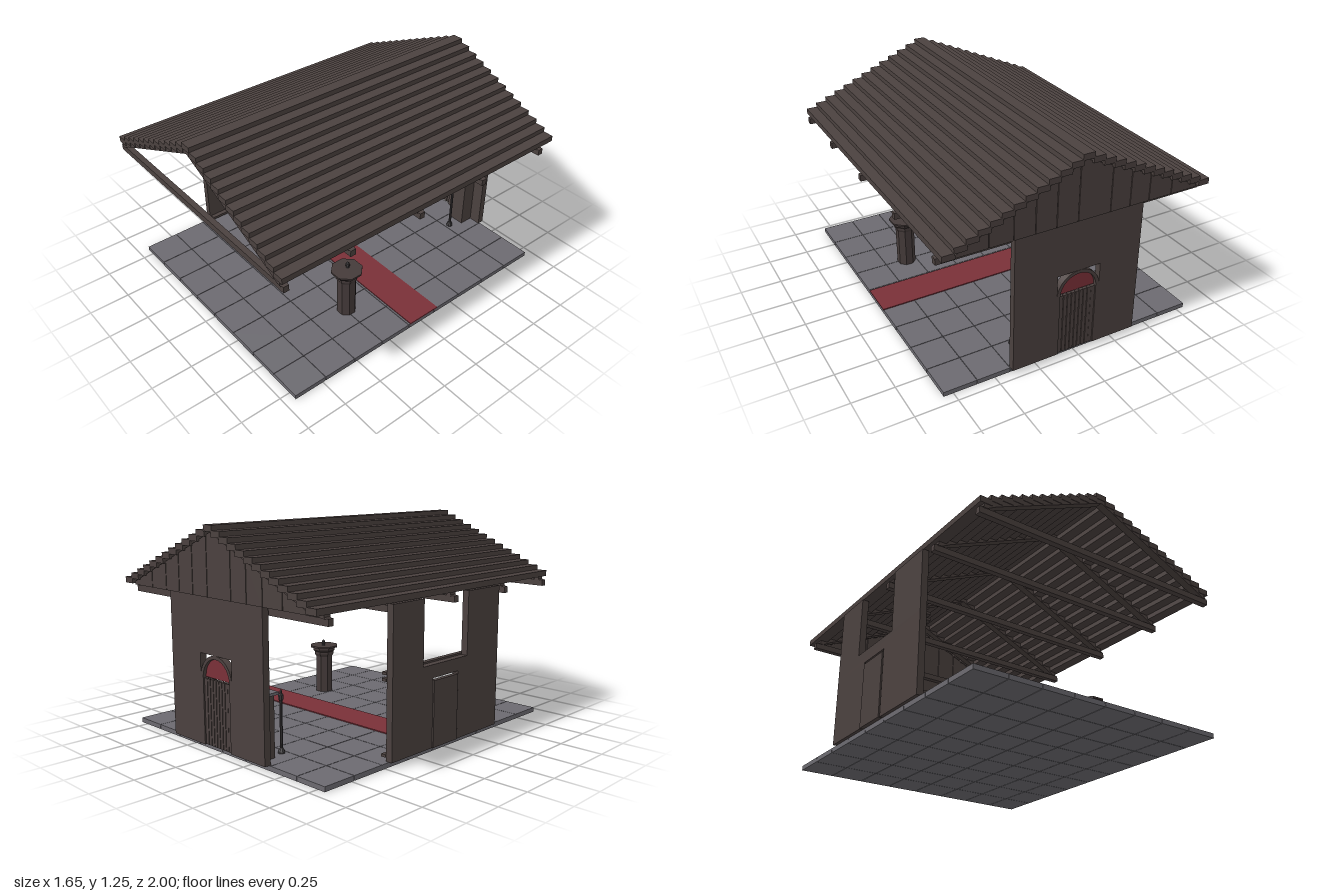
import * as THREE from 'three';

const mat = (name, color, side = THREE.FrontSide) => {
  const m = new THREE.MeshStandardMaterial({ color, side });
  m.name = name;
  return m;
};

export function createModel() {
  const wood = mat('dark wood', 0x4b413f);
  const font = mat('font wood', 0x453b3a);
  const stone = mat('grey stone', 0x6c6a70);
  const red = mat('red cloth', 0x7a3038, THREE.DoubleSide);
  const iron = mat('dark iron', 0x3b383a);
  const model = new THREE.Group();
  model.name = 'chapel';

  const group = (name, parent = model) => {
    const g = new THREE.Group();
    g.name = name;
    parent.add(g);
    return g;
  };
  const add = (parent, name, geo, m, x = 0, y = 0, z = 0) => {
    const mesh = new THREE.Mesh(geo, m);
    mesh.name = name;
    mesh.position.set(x, y, z);
    parent.add(mesh);
    return mesh;
  };
  // Box given by its extents on each axis
  const box = (parent, name, m, x0, x1, y0, y1, z0, z1) =>
    add(parent, name, new THREE.BoxGeometry(x1 - x0, y1 - y0, z1 - z0), m,
      (x0 + x1) / 2, (y0 + y1) / 2, (z0 + z1) / 2);
  // Outline in the xy plane, extruded from z0 to z1
  const prism = (parent, name, m, pts, z0, z1) => {
    const s = new THREE.Shape(pts.map(p => new THREE.Vector2(...p)));
    const geo = new THREE.ExtrudeGeometry(s, { depth: z1 - z0, bevelEnabled: false });
    return add(parent, name, geo, m, 0, 0, z0);
  };
  const lathe = (pts, n) => {
    const geo = new THREE.LatheGeometry(pts.map(p => new THREE.Vector2(...p)), n, Math.PI / n).toNonIndexed();
    geo.computeVertexNormals();
    return geo;
  };

  // Floor of stone tiles, with a carpet across it
  const floor = group('floor');
  const tx = 1.61 / 8, tz = 1.88 / 9;
  for (let i = 0; i < 8; i++) for (let j = 0; j < 9; j++) {
    const x = -0.8 + i * tx, z = -0.94 + j * tz;
    box(floor, 'floorTile', stone, x, x + tx - 0.003, 0, 0.028, z, z + tz - 0.003);
  }
  box(model, 'carpet', red, -0.78, 0.81, 0.027, 0.034, -0.13, 0.09);

  // Stepped roof planks
  const cx = 0.005, roof = group('roof');
  for (let i = -12; i <= 12; i++) {
    const x = cx + i * 0.065, y = 1.255 - Math.abs(i) * 0.0288;
    box(roof, 'roofPlank', wood, x - 0.036, x + 0.036, y - 0.035, y, -1, 1);
  }

  // Trusses: tie beam, two rafters and end blocks
  const under = x => 1.2 - Math.abs(x - cx) * 0.446;
  for (const z of [0.975, 0.555, 0.07, -0.415, -0.905]) {
    const truss = group('truss');
    box(truss, 'tieBeam', wood, -0.81, 0.82, 0.815, 0.852, z - 0.017, z + 0.017);
    for (const s of [-1, 1]) {
      const e = cx + s * 0.79;
      prism(truss, 'rafter', wood, [[cx, 1.2], [e, under(e)], [e, under(e) + 0.033], [cx, 1.233]], z - 0.022, z + 0.022);
      const k = cx + s * 0.77, f = cx + s * 0.72;
      prism(truss, 'kneeBrace', wood, [[k, 0.85], [k + s * 0.03, 0.85], [f + s * 0.02, 0.888], [f, 0.878]], z - 0.022, z + 0.022);
    }
  }

  // Vertical boards closing the rear gable
  const gable = group('rearGable');
  const seams = [-0.735, -0.56, -0.41, -0.285, -0.16, 0.04, 0.17, 0.295, 0.42, 0.56, 0.745];
  for (let i = 0; i < seams.length - 1; i++) {
    const a = seams[i] + 0.002, b = seams[i + 1] - 0.002;
    const pts = [[a, 0.868], [b, 0.868], [b, under(b) + 0.015]];
    if (a < cx && b > cx) pts.push([cx, 1.215]);
    pts.push([a, under(a) + 0.015]);
    prism(gable, 'gableBoard', wood, pts, -0.985, -0.962);
  }

  // Rear wall with a square opening, arched frame and boarded door
  const rear = group('rearWall');
  box(rear, 'wallPier', wood, -0.39, -0.13, 0.028, 0.87, -0.97, -0.93);
  box(rear, 'wallPier', wood, 0.14, 0.405, 0.028, 0.87, -0.97, -0.93);
  box(rear, 'wallHead', wood, -0.13, 0.14, 0.55, 0.87, -0.97, -0.93);
  const arch = new THREE.Shape();
  arch.absarc(0, 0, 0.135, 0, Math.PI, false);
  arch.absarc(0, 0, 0.115, Math.PI, 0, true);
  add(rear, 'archFrame', new THREE.ExtrudeGeometry(arch, { depth: 0.04, bevelEnabled: false, curveSegments: 14 }),
    wood, cx, 0.415, -0.97);
  add(rear, 'archPane', new THREE.CircleGeometry(0.116, 20, 0, Math.PI), red, cx, 0.415, -0.95);
  for (const s of [-1, 1]) {
    const x = cx + s * 0.125;
    box(rear, 'doorJamb', wood, x - 0.01, x + 0.01, 0.028, 0.415, -0.97, -0.93);
  }
  for (let i = 0; i < 9; i++) {
    const x = cx - 0.115 + i * 0.0256;
    const gap = i > 0 && i < 8 ? 0.004 : 0.001;
    box(rear, 'doorBoard', wood, x, x + 0.0256 - gap, 0.03, 0.41, -0.962, -0.942);
  }

  // Side wall with a high opening and a low door
  const side = group('sideWall');
  const wall = (y0, y1, z0, z1) => box(side, 'sideWallPanel', wood, -0.82, -0.78, y0, y1, z0, z1);
  wall(0.5, 0.87, 0.17, 0.47);
  wall(0.5, 0.87, -0.47, -0.22);
  wall(0.425, 0.5, -0.47, 0.47);
  wall(0.028, 0.425, 0.09, 0.47);
  wall(0.028, 0.425, -0.47, -0.135);
  box(side, 'sideDoor', wood, -0.825, -0.8, 0.028, 0.41, -0.13, 0.083);
  for (const [y0, y1] of [[0.46, 0.475], [0.495, 0.51]])
    box(side, 'wallRail', wood, -0.78, -0.75, y0, y1, -0.475, 0.46);
  for (const [z0, z1] of [[-0.475, -0.135], [0.09, 0.46]])
    box(side, 'skirtingRail', wood, -0.78, -0.75, 0.05, 0.066, z0, z1);

  // Candlesticks
  const stick = lathe([[0, 0], [0.02, 0], [0.02, 0.01], [0.009, 0.03], [0.008, 0.29], [0.014, 0.3],
    [0.015, 0.325], [0.009, 0.33], [0.007, 0.345], [0, 0.358]], 8);
  for (const [x, z] of [[-0.75, 0.165], [-0.288, -0.765], [0.292, -0.765]])
    add(model, 'candlestick', stick, iron, x, 0.028, z);

  // Octagonal font with a flared top and a finial
  const basin = group('font');
  basin.position.set(0.47, 0.028, 0.3);
  add(basin, 'fontBody', lathe([[0, 0], [0.058, 0], [0.058, 0.245], [0.068, 0.262], [0.068, 0.278],
    [0.078, 0.288], [0.078, 0.305], [0.096, 0.307], [0.096, 0.318], [0, 0.318]], 8), font);
  add(basin, 'finial', lathe([[0, 0.315], [0.012, 0.315], [0.008, 0.326], [0.014, 0.332],
    [0.01, 0.348], [0, 0.36]], 8), iron, -0.01, 0, -0.015);

  // Robed statues on pedestals
  for (const x of [-0.268, 0.276]) {
    const g = group('statue');
    g.position.x = x;
    box(g, 'pedestal', wood, -0.054, 0.054, 0.028, 0.376, -0.932, -0.842);
    box(g, 'pedestalSlab', stone, -0.067, 0.067, 0.375, 0.39, -0.932, -0.82);
    const robe = add(g, 'robe', lathe([[0, 0], [0.036, 0], [0.031, 0.04], [0.025, 0.1], [0.027, 0.13],
      [0.034, 0.165], [0.03, 0.185], [0.012, 0.195], [0, 0.195]], 8), stone, 0, 0.39, -0.885);
    robe.scale.z = 0.85;
    add(g, 'head', lathe([[0, 0], [0.022, 0], [0.019, 0.03], [0.016, 0.048], [0, 0.053]], 7), stone, 0, 0.574, -0.882);
    for (const s of [-1, 1]) {
      const arm = add(g, 'sleeve', new THREE.CylinderGeometry(0.008, 0.012, 0.075, 6), stone, s * 0.033, 0.541, -0.88);
      arm.rotation.z = s * 0.12;
      const fore = add(g, 'forearm', new THREE.CylinderGeometry(0.007, 0.009, 0.04, 6), stone, s * 0.022, 0.53, -0.862);
      fore.rotation.z = s * 0.7;
    }
  }
  return model;
}
